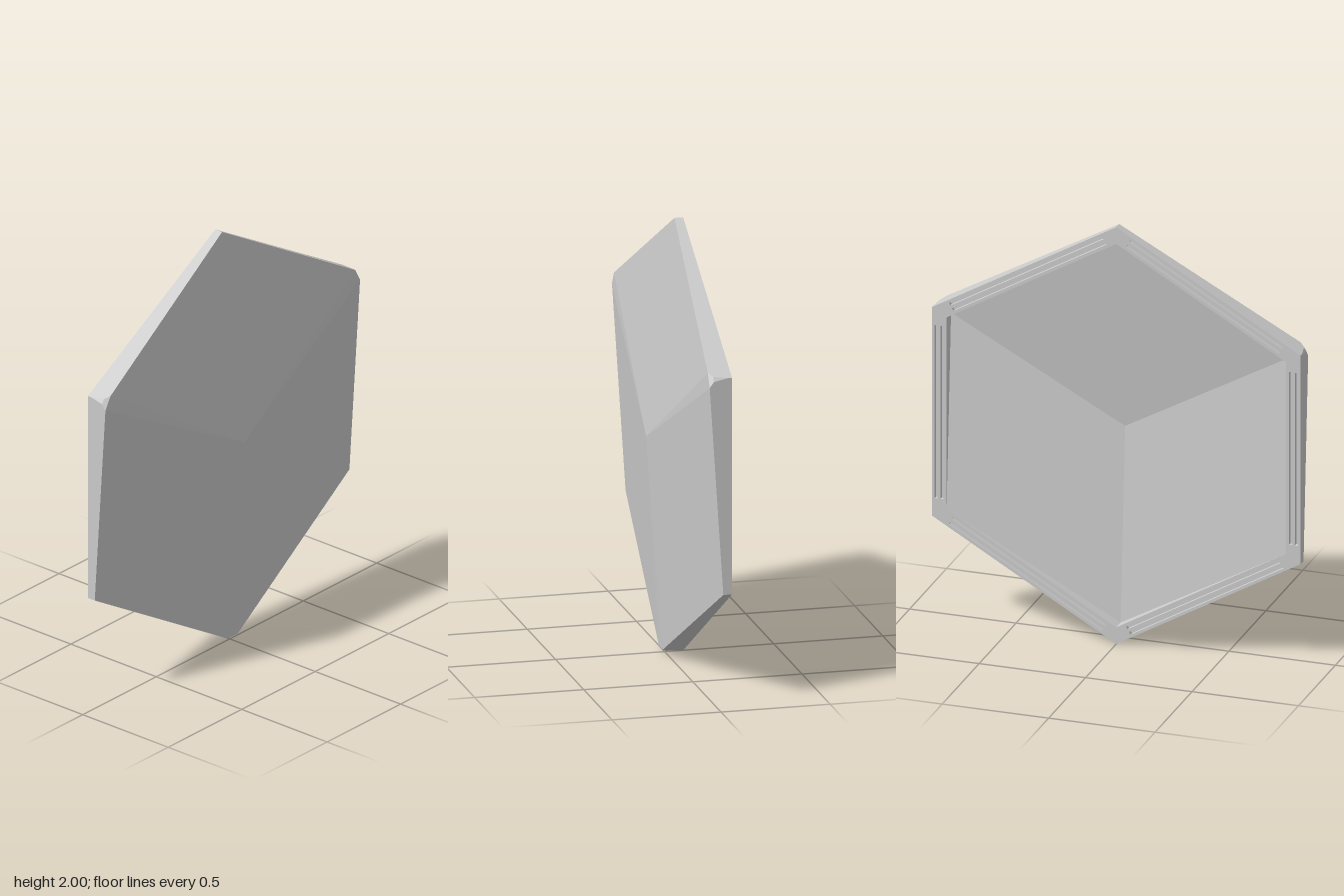
import * as THREE from 'three';

const BACK = -0.085, GROOVE_Z = -0.065, APEX = 0.085, INNER = 0.92, WALL = 0.05;
const isHigh = i => i % 2 === 1;
const frontZ = (i, r) => APEX - (isHigh(i) ? 0.065 : 0.13) * r;

// Hexagon corner i, starting at the top and running counter-clockwise
function corner(i, r = 1) {
  const a = Math.PI / 2 + i * Math.PI / 3;
  return new THREE.Vector2(Math.cos(a) * r, Math.sin(a) * r);
}
const hexagon = r => Array.from({ length: 6 }, (_, i) => corner(i, r));

// Outer loop at fraction t from back to front, raised corners cut back by c
function outerLoop(t, c) {
  const loop = [];
  const add = (p, z) => loop.push([p.x, p.y, GROOVE_Z + t * (z - GROOVE_Z)]);
  for (let i = 0; i < 6; i++) {
    if (!isHigh(i)) { add(corner(i), frontZ(i, 1)); continue; }
    for (const n of [i - 1, i + 1]) {
      add(corner(i).lerp(corner(n), c), frontZ(i, 1) - 0.065 * c);
    }
  }
  return loop;
}

// Joins loops into bands and closes the last one to an apex
function skin(loops, apex, inward) {
  const pos = [];
  const tri = (a, b, c) => pos.push(...a, ...(inward ? c : b), ...(inward ? b : c));
  loops.forEach((loop, k) => loop.forEach((p, j) => {
    const n = (j + 1) % loop.length, next = loops[k + 1];
    if (next) {
      tri(p, loop[n], next[n]);
      tri(p, next[n], next[j]);
    } else tri(apex, p, loop[n]);
  }));
  const g = new THREE.BufferGeometry();
  g.setAttribute('position', new THREE.Float32BufferAttribute(pos, 3));
  g.computeVertexNormals();
  return g;
}

export function createModel() {
  const model = new THREE.Group();
  model.name = 'hexagonalTile';
  const material = new THREE.MeshStandardMaterial({ color: 0xcccccc });
  const add = (name, geometry) => {
    const mesh = new THREE.Mesh(geometry, material);
    mesh.name = name;
    mesh.position.y = 1;
    model.add(mesh);
  };

  // Faceted front and side walls with softened raised corners
  add('frontShell', skin(
    [outerLoop(0, 0), outerLoop(0.75, 0.014), outerLoop(1, 0.04)], [0, 0, APEX], false));

  // Hollow back following the front facets
  const mouth = hexagon(INNER).map(p => [p.x, p.y, BACK]);
  const floor = hexagon(INNER).map((p, i) => [p.x, p.y, frontZ(i, INNER) - WALL]);
  add('backCavity', skin([mouth, floor], [0, 0, APEX - WALL], true));

  // Back rim with two long grooves along every side
  const rim = new THREE.Shape(hexagon(1));
  rim.holes.push(new THREE.Path(hexagon(INNER)));
  const grooveFloor = new THREE.ShapeGeometry(rim.clone());
  for (let k = 0; k < 6; k++) {
    for (const d of [0.846, 0.818]) {
      const rect = [[-1, -1], [1, -1], [1, 1], [-1, 1]].map(([u, v]) =>
        new THREE.Vector2(d + u * 0.007, v * 0.415)
          .rotateAround(new THREE.Vector2(), k * Math.PI / 3));
      rim.holes.push(new THREE.Path(rect));
    }
  }
  const rimBody = new THREE.ExtrudeGeometry(rim, { depth: GROOVE_Z - BACK, bevelEnabled: false });
  add('backRim', rimBody.translate(0, 0, BACK));
  add('grooveFloor', grooveFloor.rotateY(Math.PI).translate(0, 0, GROOVE_Z));

  return model;
}
